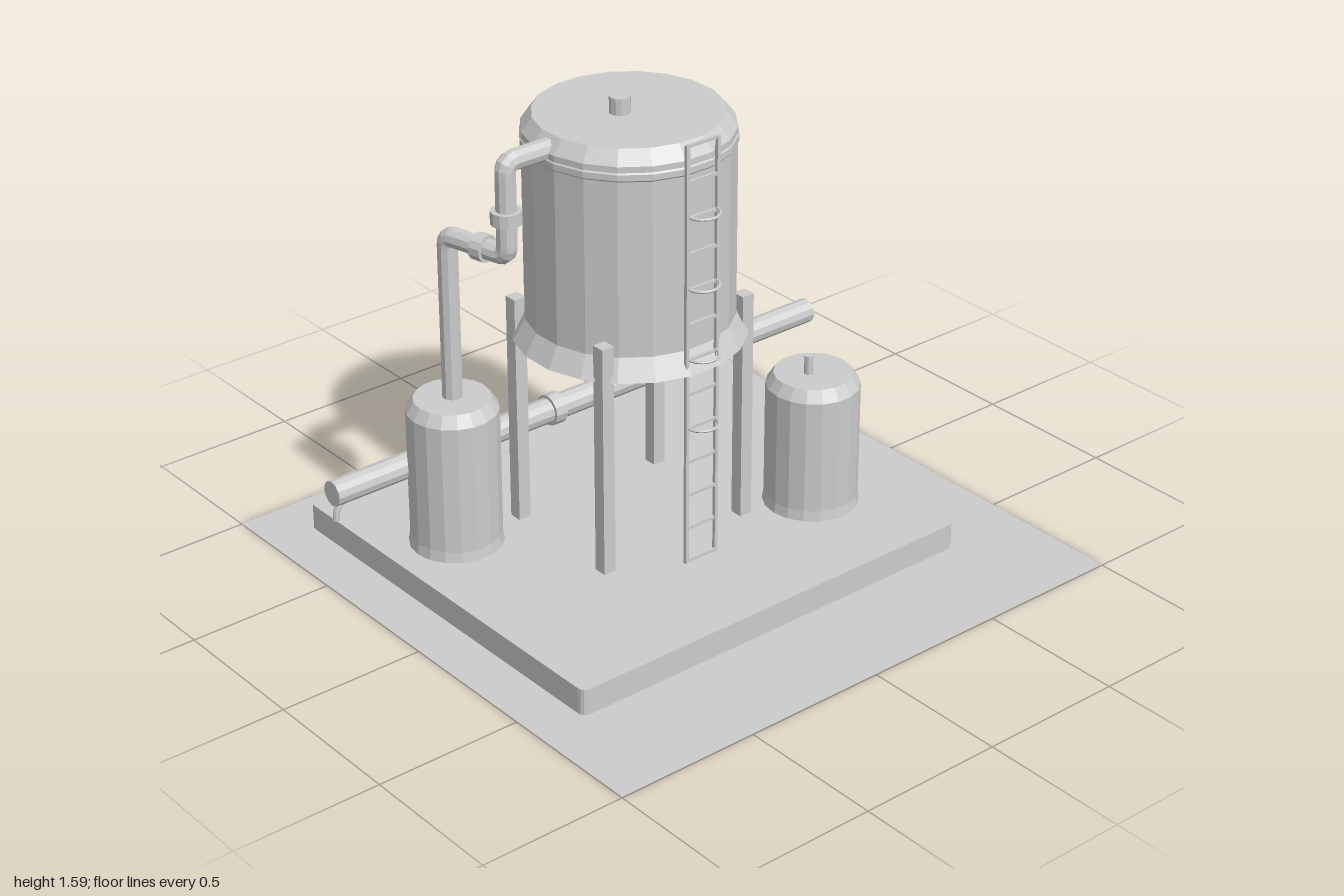
import * as THREE from 'three';

export function createModel() {
  const model = new THREE.Group();
  model.name = 'waterTankStation';
  const grey = new THREE.MeshStandardMaterial({ color: 0xcccccc, flatShading: true, side: THREE.DoubleSide });
  grey.name = 'plain grey';

  const V = (x, y, z) => new THREE.Vector3(x, y, z);
  const add = (name, geometry, x = 0, y = 0, z = 0, parent = model) => {
    const mesh = new THREE.Mesh(geometry, grey);
    mesh.name = name;
    mesh.position.set(x, y, z);
    parent.add(mesh);
    return mesh;
  };
  const group = (name) => {
    const g = new THREE.Group();
    g.name = name;
    model.add(g);
    return g;
  };
  // Faceted body of revolution with a flat side facing front
  const turned = (name, profile, sides, x, z, parent) =>
    add(name, new THREE.LatheGeometry(profile.map(([r, y]) => new THREE.Vector2(r, y)), sides, Math.PI / sides), x, 0, z, parent);
  // Straight round bar between two points
  const rod = (name, a, b, r, parent, sides = 10, open = false) => {
    const mesh = add(name, new THREE.CylinderGeometry(r, r, a.distanceTo(b), sides, 1, open), 0, 0, 0, parent);
    mesh.position.copy(a).lerp(b, 0.5);
    mesh.quaternion.setFromUnitVectors(V(0, 1, 0), b.clone().sub(a).normalize());
    return mesh;
  };

  // Ground and concrete slab
  add('ground', new THREE.PlaneGeometry(2, 2).rotateX(-Math.PI / 2), 0, 0.003, 0);
  const hw = 0.77, hd = 0.725, c = 0.03;
  const outline = new THREE.Shape();
  outline.moveTo(-hw + c, -hd);
  outline.lineTo(hw - c, -hd);
  outline.quadraticCurveTo(hw, -hd, hw, -hd + c);
  outline.lineTo(hw, hd - c);
  outline.quadraticCurveTo(hw, hd, hw - c, hd);
  outline.lineTo(-hw + c, hd);
  outline.quadraticCurveTo(-hw, hd, -hw, hd - c);
  outline.lineTo(-hw, -hd + c);
  outline.quadraticCurveTo(-hw, -hd, -hw + c, -hd);
  const slab = new THREE.ExtrudeGeometry(outline, { depth: 0.09, bevelEnabled: false, curveSegments: 4 });
  add('slab', slab.rotateX(-Math.PI / 2), -0.07, 0.01, -0.105);

  // Raised main tank with flared skirt and chamfered roof
  const tank = group('mainTank');
  turned('mainTankBody', [[0, 0.78], [0.377, 0.78], [0.337, 0.85], [0.337, 1.49], [0.302, 1.535], [0, 1.535]], 20, -0.07, -0.1, tank);
  turned('mainTankBand', [[0.337, 1.44], [0.341, 1.445], [0.341, 1.465], [0.337, 1.47]], 20, -0.07, -0.1, tank);
  rod('mainTankVent', V(-0.105, 1.53, -0.1), V(-0.105, 1.59, -0.1), 0.034, tank, 12);

  // Four legs
  for (const x of [-0.355, 0.213])
    for (const z of [-0.32, 0.122])
      add('leg', new THREE.BoxGeometry(0.045, 0.8, 0.045), x, 0.5, z);

  // Two small ground tanks
  const smallTank = (name, x, z, r, top) => turned(name, [
    [0, 0], [r + 0.015, 0], [r + 0.005, 0.1], [r, 0.135], [r, top - 0.04], [r - 0.025, top], [0, top],
  ], 18, x, z);
  smallTank('rightTank', -0.603, -0.335, 0.15, 0.62);
  smallTank('leftTank', 0.45, 0.197, 0.155, 0.57);
  rod('leftTankVent', V(0.43, 0.56, 0.197), V(0.43, 0.635, 0.197), 0.015, model, 8);

  // Connecting pipe: straight runs with rounded elbows
  const feed = group('connectingPipe');
  const route = [V(-0.597, 0.6, -0.34), V(-0.597, 1.18, -0.34), V(-0.543, 1.18, -0.105), V(-0.543, 1.49, -0.105), V(-0.34, 1.49, -0.105)];
  const path = new THREE.CurvePath();
  let from = route[0];
  for (let i = 1; i < route.length - 1; i++) {
    const p = route[i];
    const toward = (q) => p.clone().add(q.clone().sub(p).setLength(0.035));
    const a = toward(route[i - 1]), b = toward(route[i + 1]);
    path.add(new THREE.LineCurve3(from, a));
    path.add(new THREE.QuadraticBezierCurve3(a, p, b));
    from = b;
  }
  path.add(new THREE.LineCurve3(from, route[4]));
  add('pipeRun', new THREE.TubeGeometry(path, 90, 0.034, 10), 0, 0, 0, feed);
  rod('verticalCoupling', V(-0.543, 1.29, -0.105), V(-0.543, 1.333, -0.105), 0.05, feed, 12);
  rod('elbowCoupling', V(-0.57, 1.18, -0.222), V(-0.56, 1.18, -0.18), 0.045, feed, 12);

  // Long pipeline behind the tanks, open at its left end
  const line = group('pipeline');
  rod('pipelineTube', V(-1, 0.365, -0.443), V(1, 0.365, -0.443), 0.043, line, 12, true);
  rod('pipelineCoupling', V(-0.145, 0.365, -0.443), V(-0.1, 0.365, -0.443), 0.054, line, 12);
  rod('pipelineCap', V(-1, 0.365, -0.443), V(-0.98, 0.365, -0.443), 0.043, line, 12);
  const spout = new THREE.QuadraticBezierCurve3(V(-0.96, 0.325, -0.443), V(-0.987, 0.322, -0.443), V(-0.989, 0.265, -0.443));
  add('spout', new THREE.TubeGeometry(spout, 6, 0.011, 8), 0, 0, 0, line);

  // Ladder with rungs and safety hoops
  const ladder = group('ladder');
  for (const x of [-0.132, -0.012])
    add('ladderRail', new THREE.BoxGeometry(0.012, 1.45, 0.012), x, 0.825, 0.253, ladder);
  for (let i = 0; i < 13; i++)
    add('ladderRung', new THREE.BoxGeometry(0.12, 0.01, 0.01), -0.072, 0.107 + i * 0.12, 0.253, ladder);
  for (let i = 0; i < 4; i++) {
    const hoop = new THREE.TorusGeometry(0.055, 0.005, 6, 12, Math.PI).rotateX(Math.PI / 2);
    add('ladderHoop', hoop, -0.072, 0.587 + i * 0.242, 0.253, ladder);
  }
  return model;
}
